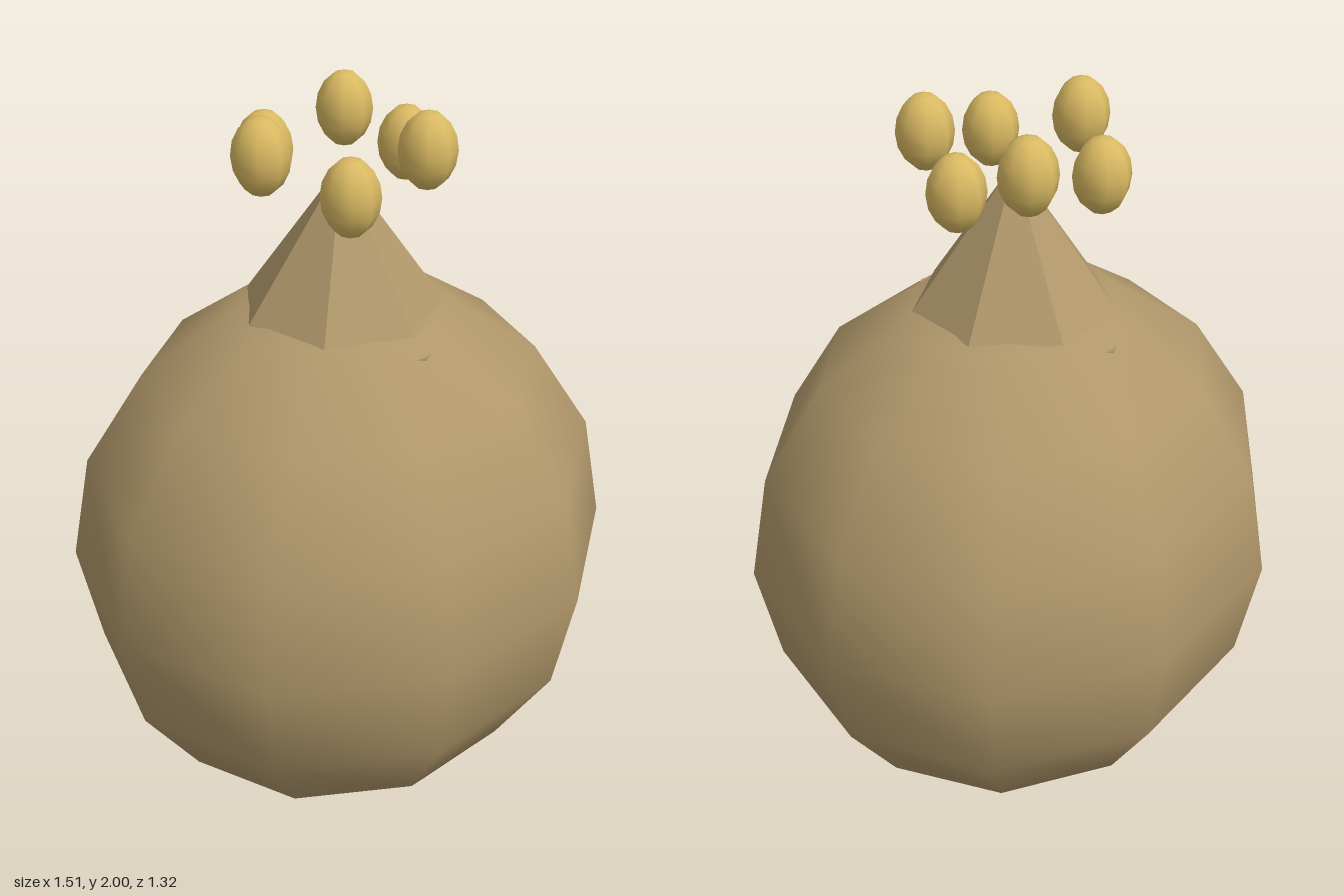
import * as THREE from 'three';

export function createModel() {
  const group = new THREE.Group();
  const tan = new THREE.MeshStandardMaterial({ name: 'tan skin', color: 0xb0976a });
  const tanFlat = new THREE.MeshStandardMaterial({ name: 'tan skin', color: 0xb0976a, flatShading: true });
  const gold = new THREE.MeshStandardMaterial({ name: 'gold', color: 0xd9b962 });

  const add = (name, geometry, material, x, y, z) => {
    const mesh = new THREE.Mesh(geometry, material);
    mesh.name = name;
    mesh.position.set(x, y, z);
    group.add(mesh);
    return mesh;
  };

  // Round body, slightly flattened front to back
  add('body', new THREE.SphereGeometry(0.757, 10, 8), tan, 0, 0.762, 0).scale.z = 0.917;

  // Thin collar just breaking the surface at front and back
  add('collar', new THREE.CylinderGeometry(0.31, 0.31, 0.01, 8), tanFlat, 0, 1.42, 0);

  // Seven-sided pointed top
  add('pointedTop', new THREE.ConeGeometry(0.265, 0.375, 7), tanFlat, 0, 1.6525, 0);

  // Ring of floating beads around the tip
  const beadGeometry = new THREE.SphereGeometry(0.073, 8, 8);
  const beads = [
    [0.22, 1.84, 0], [0.10, 1.903, 0.195], [-0.13, 1.84, 0.175],
    [-0.22, 1.903, -0.04], [-0.07, 1.84, -0.21], [0.155, 1.903, -0.16],
  ];
  beads.forEach(([x, y, z], i) => {
    add(`bead${i + 1}`, beadGeometry, gold, x, y, z).scale.y = 1.33;
  });

  return group;
}
